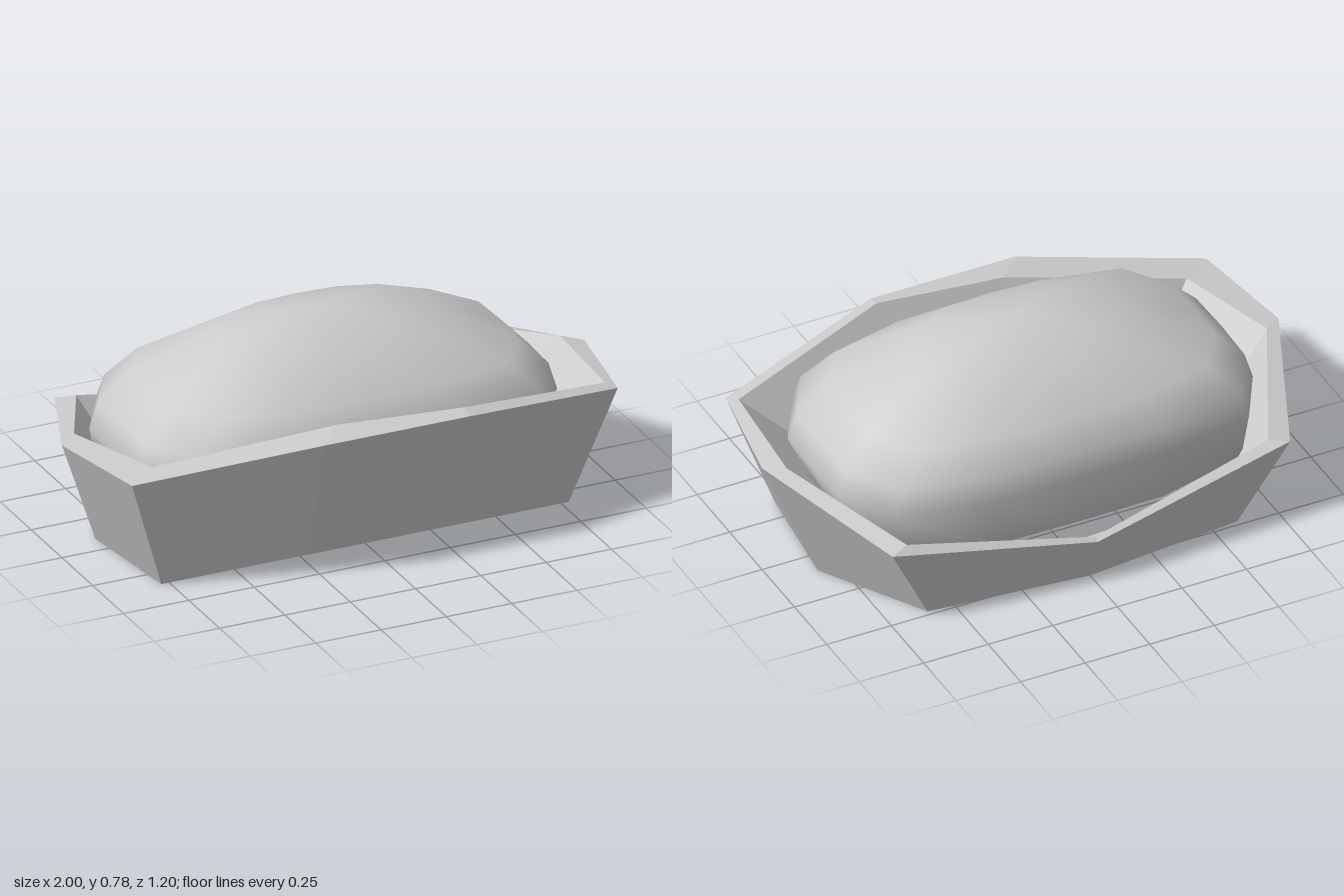
import * as THREE from 'three';
import { mergeVertices } from 'three/addons/utils/BufferGeometryUtils.js';

const grey = () => new THREE.MeshStandardMaterial({ color: 0xcccccc, side: THREE.DoubleSide });

// Closed band of flat four-sided facets: loops joined in order, the last back to the first.
function bandGeometry(loops) {
  const positions = [], normals = [], index = [];
  const points = loops.map((loop) => loop.map((p) => new THREE.Vector3(...p)));
  points.forEach((lower, l) => {
    const upper = points[(l + 1) % points.length];
    lower.forEach((a, i) => {
      const j = (i + 1) % lower.length;
      const quad = [lower[j], a, upper[i], upper[j]];
      // One shared normal per facet, from its diagonals
      const normal = quad[2].clone().sub(quad[0]).cross(quad[3].clone().sub(quad[1])).normalize();
      const s = positions.length / 3;
      for (const p of quad) {
        positions.push(...p);
        normals.push(...normal);
      }
      index.push(s, s + 1, s + 2, s, s + 2, s + 3);
    });
  });
  const geometry = new THREE.BufferGeometry();
  geometry.setAttribute('position', new THREE.Float32BufferAttribute(positions, 3));
  geometry.setAttribute('normal', new THREE.Float32BufferAttribute(normals, 3));
  geometry.setIndex(index);
  return geometry;
}

// Full nine-point loop from side, front corner, front, back corner and back points.
function mirroredLoop(side, corner, front, backCorner, back) {
  const flip = ([x, y, z]) => [-x, y, z];
  return [side, corner, front, flip(front), flip(corner), flip(side), flip(backCorner), back, backCorner];
}

// Faceted setting with an arched front foot, a dipped back edge and a hollow under the seat
function createBezel() {
  const outerBottom = mirroredLoop([0.83, 0, -0.09], [0.78, 0, 0.34], [0.28, 0.075, 0.485], [0.6, 0, -0.48], [0, 0, -0.54]);
  const outerTop = mirroredLoop([1, 0.43, 0], [0.93, 0.44, 0.42], [0.28, 0.54, 0.6], [0.77, 0.33, -0.55], [0, 0.18, -0.6]);
  const innerTop = mirroredLoop([0.93, 0.44, -0.05], [0.9, 0.45, 0.38], [0.28, 0.553, 0.55], [0.7, 0.34, -0.52], [0, 0.19, -0.58]);
  // The rim is broader on the right front
  innerTop[3] = [-0.18, 0.553, 0.49];
  innerTop[4] = [-0.81, 0.45, 0.33];
  const seat = mirroredLoop([0.74, 0.23, -0.1], [0.68, 0.25, 0.28], [0.25, 0.29, 0.41], [0.6, 0.14, -0.43], [0, 0.08, -0.5]);
  const hollow = mirroredLoop([0.79, 0.1, -0.18], [0.71, 0.1, 0.28], [0.27, 0.15, 0.42], [0.58, 0.08, -0.42], [0, 0.06, -0.47]);
  const innerBottom = mirroredLoop([0.67, 0, -0.2], [0.62, 0, 0.14], [0.27, 0.075, 0.33], [0.54, 0, -0.36], [0.05, 0, -0.4]);
  const lip = innerBottom.map(([x, y, z]) => [x, y + 0.05, z]);
  const loops = [outerBottom, outerTop, innerTop, seat, hollow, lip, innerBottom];
  const mesh = new THREE.Mesh(bandGeometry(loops), grey());
  mesh.name = 'bezel';
  return mesh;
}

// Smooth domed stone: a lathe squared off more and more towards its girdle
function createStone() {
  const profile = [
    [0, 0.24], [0.85, 0.24], [0.97, 0.27], [1, 0.37], [0.965, 0.468],
    [0.84, 0.575], [0.475, 0.715], [0, 0.783],
  ].map(([r, y]) => new THREE.Vector2(r, y));
  let geometry = new THREE.LatheGeometry(profile, 16);
  const p = geometry.attributes.position;
  for (let i = 0; i < p.count; i++) {
    const x = p.getX(i), y = p.getY(i), z = p.getZ(i), r = Math.hypot(x, z);
    if (r < 1e-6) continue;
    const n = 2 + 2.2 * r * r;
    const k = (Math.abs(x / r) ** n + Math.abs(z / r) ** n) ** (-1 / n);
    p.setX(i, x * k * 0.808);
    p.setZ(i, z * k * 0.473);
    // The underside slopes down to the back with the rim
    if (y < 0.3) p.setY(i, y + 0.2 * p.getZ(i));
  }
  geometry.deleteAttribute('uv');
  geometry.deleteAttribute('normal');
  geometry = mergeVertices(geometry, 1e-4);
  geometry.computeVertexNormals();
  const mesh = new THREE.Mesh(geometry, grey());
  mesh.name = 'stone';
  return mesh;
}

export function createModel() {
  const group = new THREE.Group();
  group.name = 'setStone';
  group.add(createBezel(), createStone());
  return group;
}
